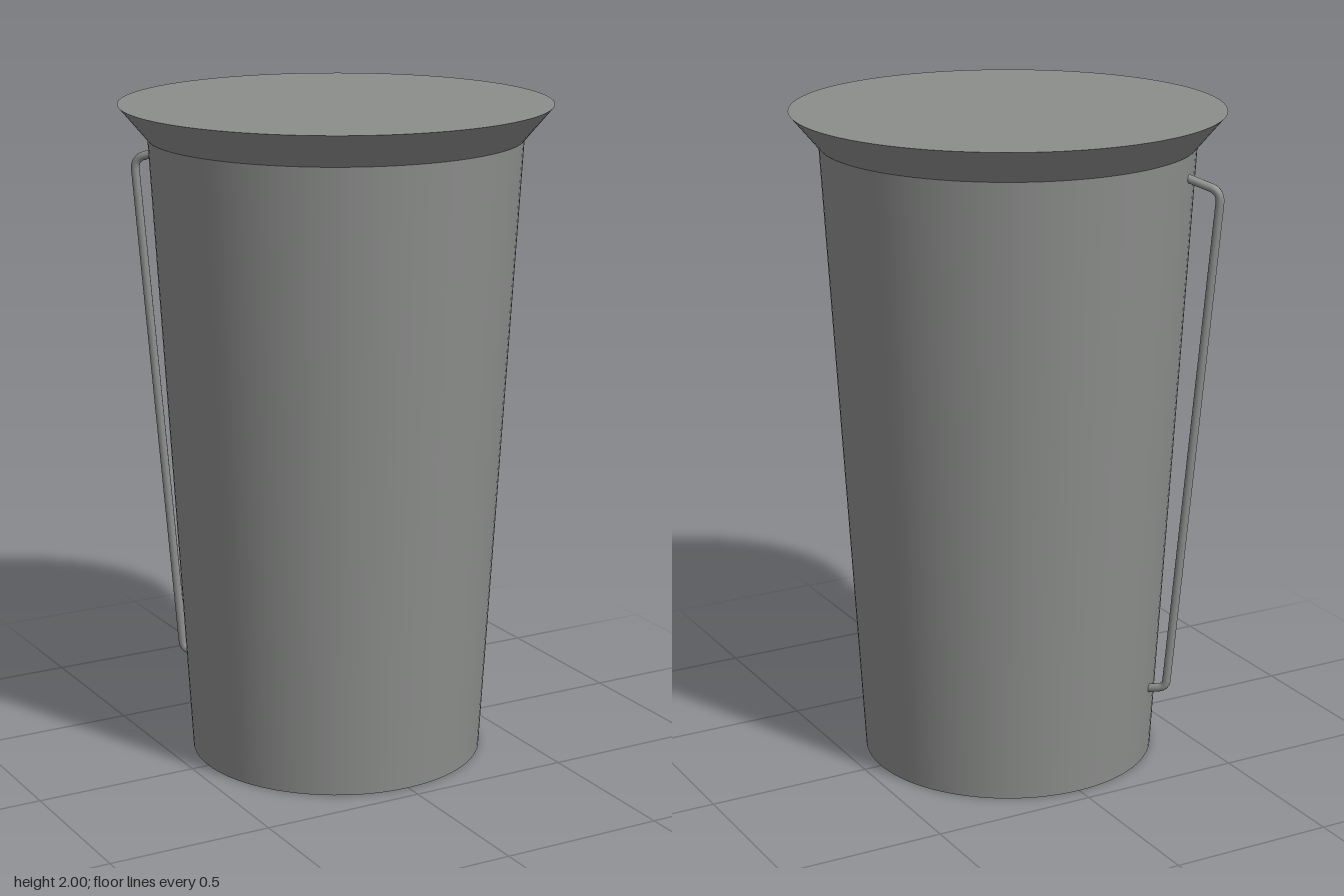
import * as THREE from 'three';

export function createModel() {
  const model = new THREE.Group();
  const steel = new THREE.MeshStandardMaterial({ color: 0x8c8e8c });
  steel.name = 'grey steel';

  const add = (name, geometry) => {
    const mesh = new THREE.Mesh(geometry, steel);
    mesh.name = name;
    model.add(mesh);
    return mesh;
  };

  // Tapered body and flared, closed rim
  const bodyHeight = 1.9, rimHeight = 0.1;
  add('body', new THREE.CylinderGeometry(0.554, 0.445, bodyHeight, 96))
    .position.y = bodyHeight / 2;
  add('rim', new THREE.CylinderGeometry(0.64, 0.556, rimHeight, 96))
    .position.y = bodyHeight + rimHeight / 2;

  // Thin rod handle, bent at both ends, in a radial plane at the back
  const outward = new THREE.Vector3(-0.669, 0, -0.743);
  const at = (r, y) => outward.clone().multiplyScalar(r).setY(y);
  const path = new THREE.CurvePath();
  const p = [at(0.53, 1.835), at(0.62, 1.806), at(0.645, 1.795), at(0.643, 1.765),
    at(0.513, 0.265), at(0.511, 0.242), at(0.49, 0.238), at(0.44, 0.228)];
  path.add(new THREE.LineCurve3(p[0], p[1]));
  path.add(new THREE.QuadraticBezierCurve3(p[1], p[2], p[3]));
  path.add(new THREE.LineCurve3(p[3], p[4]));
  path.add(new THREE.QuadraticBezierCurve3(p[4], p[5], p[6]));
  path.add(new THREE.LineCurve3(p[6], p[7]));
  add('handle', new THREE.TubeGeometry(path, 200, 0.013, 12, false));

  return model;
}
